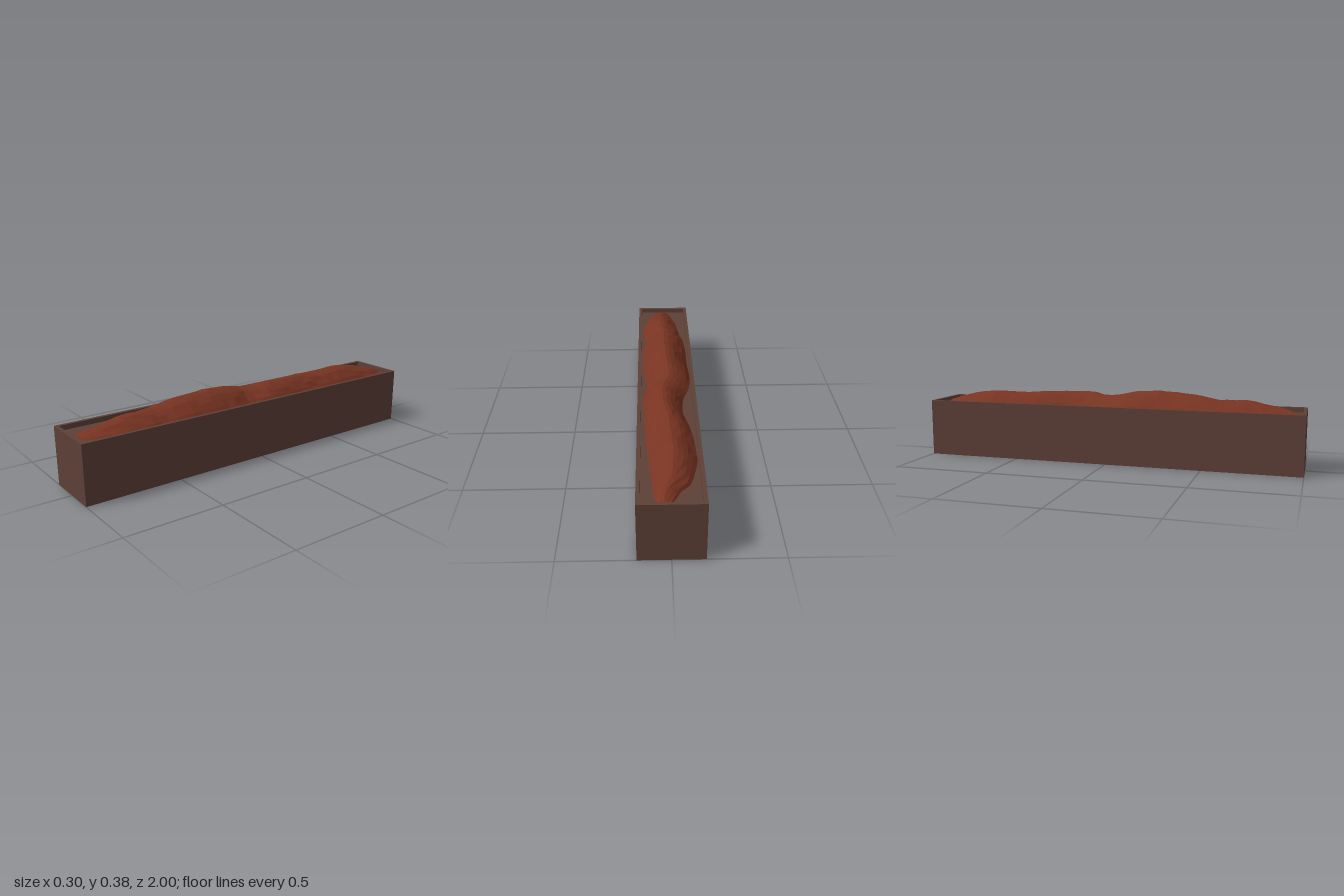
import * as THREE from 'three';

const FLOOR = 0.275;

// Mound outline at stations along z: [z, left edge x, right edge x, crest y]
const STATIONS = [
  [-0.975, 0, 0.055, 0.285], [-0.94, -0.02, 0.07, 0.297], [-0.9, -0.025, 0.08, 0.31],
  [-0.86, -0.08, 0.082, 0.32], [-0.8, -0.1, 0.085, 0.335], [-0.68, -0.128, 0.095, 0.352],
  [-0.5, -0.122, 0.11, 0.346], [-0.38, -0.105, 0.112, 0.355], [-0.25, -0.075, 0.12, 0.358],
  [-0.12, -0.085, 0.127, 0.362], [-0.05, -0.11, 0.115, 0.347], [0.02, -0.128, 0.097, 0.347],
  [0.12, -0.13, 0.118, 0.37], [0.25, -0.122, 0.127, 0.379], [0.45, -0.122, 0.126, 0.365],
  [0.55, -0.115, 0.107, 0.343], [0.62, -0.1, 0.122, 0.341], [0.72, -0.085, 0.122, 0.343],
  [0.8, -0.078, 0.112, 0.326], [0.9, -0.055, 0.085, 0.305], [0.96, -0.03, 0.03, 0.285],
];

function seeded(seed) {
  return () => (seed = (seed * 16807) % 2147483647) / 2147483647;
}

// Linear lookup of the mound outline
function outlineAt(z) {
  let i = 0;
  while (i < STATIONS.length - 2 && STATIONS[i + 1][0] < z) i++;
  const a = STATIONS[i], b = STATIONS[i + 1];
  const t = THREE.MathUtils.clamp((z - a[0]) / (b[0] - a[0]), 0, 1);
  return a.map((v, k) => THREE.MathUtils.lerp(v, b[k], t));
}

// Rectangular rings joined into one shell: outer walls, rim, lip and inner floor
function troughGeometry() {
  const rings = [[0.15, 1, 0], [0.15, 1, 0.3], [0.132, 0.982, 0.3], [0.132, 0.982, FLOOR]]
    .map(([x, z, y]) => [[-x, y, z], [x, y, z], [x, y, -z], [-x, y, -z]]);
  const positions = [];
  const quad = (a, b, c, d) => positions.push(...a, ...b, ...c, ...a, ...c, ...d);
  for (let r = 0; r < rings.length - 1; r++) {
    for (let i = 0; i < 4; i++) {
      const j = (i + 1) % 4;
      quad(rings[r][i], rings[r][j], rings[r + 1][j], rings[r + 1][i]);
    }
  }
  quad(...rings[rings.length - 1]);
  const geometry = new THREE.BufferGeometry();
  geometry.setAttribute('position', new THREE.Float32BufferAttribute(positions, 3));
  geometry.computeVertexNormals();
  return geometry;
}

// A grid shaped into a lumpy ridge that follows the outline
function moundGeometry() {
  const cols = 10, rows = 44;
  const random = seeded(417);
  const geometry = new THREE.PlaneGeometry(2, 2, cols, rows);
  geometry.rotateX(-Math.PI / 2);
  const p = geometry.attributes.position;
  const first = STATIONS[0][0], last = STATIONS[STATIONS.length - 1][0];
  for (let i = 0; i < p.count; i++) {
    const s = p.getX(i);
    const z = THREE.MathUtils.lerp(first, last, (p.getZ(i) + 1) / 2);
    const [, left, right, crest] = outlineAt(z);
    const inside = Math.abs(s) < 0.99 ? 1 : 0;
    const profile = 1 - Math.pow(Math.abs(s), 1.75);
    const x = THREE.MathUtils.lerp(left, right, (s + 1) / 2);
    const lump = inside * (random() - 0.5) * 0.008 * (1 - 0.6 * profile);
    p.setXYZ(i, x + inside * (random() - 0.5) * 0.006,
      FLOOR - 0.002 + (crest - FLOOR + 0.002) * profile + lump,
      z + inside * (random() - 0.5) * 0.008);
  }
  geometry.computeVertexNormals();
  return geometry;
}

export function createModel() {
  const group = new THREE.Group();
  group.name = 'planterTrough';

  const wood = new THREE.MeshStandardMaterial({ color: 0x5d4037, side: THREE.DoubleSide, flatShading: true });
  wood.name = 'dark brown';
  const earth = new THREE.MeshStandardMaterial({ color: 0x793422, side: THREE.DoubleSide, flatShading: true });
  earth.name = 'red earth';

  const trough = new THREE.Mesh(troughGeometry(), wood);
  trough.name = 'trough';
  const mound = new THREE.Mesh(moundGeometry(), earth);
  mound.name = 'soilMound';
  group.add(trough, mound);
  return group;
}
